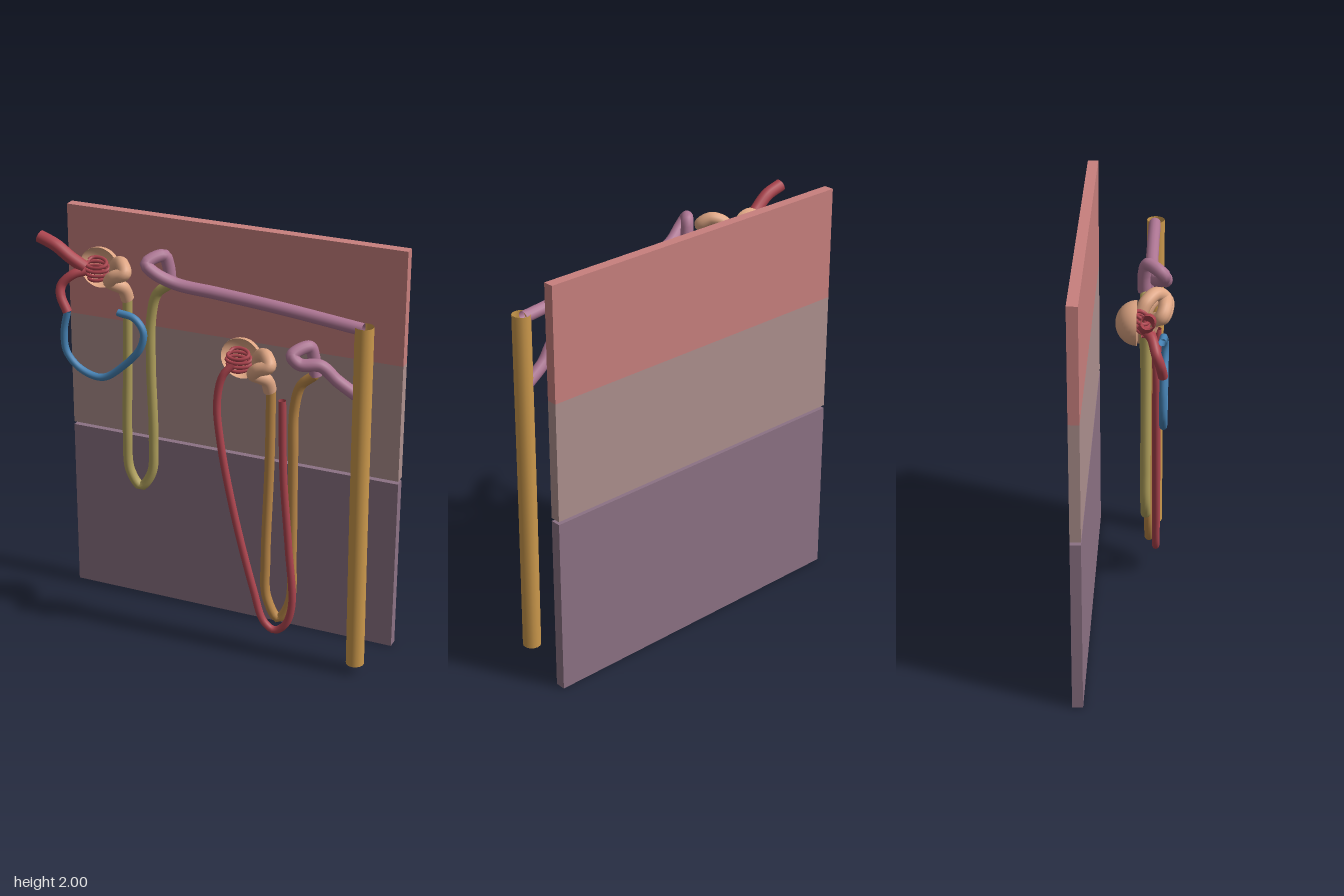
import * as THREE from 'three';

const mat = (name, color) => {
  const m = new THREE.MeshStandardMaterial({ color, side: THREE.DoubleSide });
  m.name = name;
  return m;
};

export function createModel() {
  const M = {
    cortex: mat('cortex rose', 0xc8807e),
    outer: mat('outer medulla taupe', 0xad908e),
    inner: mat('inner medulla plum', 0x8c7284),
    vessel: mat('vessel red', 0xac444e),
    vein: mat('vein blue', 0x4682b4),
    peach: mat('peach', 0xdfa684),
    mauve: mat('mauve', 0xae7694),
    olive: mat('olive', 0xb0a05c),
    amber: mat('amber', 0xba8748),
    duct: mat('duct gold', 0xcc994c),
  };
  const model = new THREE.Group();

  const add = (parent, name, geometry, material) => {
    const mesh = new THREE.Mesh(geometry, material);
    mesh.name = name;
    parent.add(mesh);
    return mesh;
  };
  // Open-ended tube through a few points, optionally shifted in x and y
  const tube = (parent, name, material, radius, pts, dx = 0, dy = 0) => {
    const curve = new THREE.CatmullRomCurve3(
      pts.map(([x, y, z]) => new THREE.Vector3(x + dx, y + dy, z)));
    return add(parent, name, new THREE.TubeGeometry(curve, pts.length * 10, radius, 14), material);
  };

  // Backing layers
  const layers = [
    ['cortexLayer', M.cortex, 1.455, 2],
    ['outerMedullaLayer', M.outer, 0.88, 1.455],
    ['innerMedullaLayer', M.inner, 0, 0.865],
  ];
  for (const [name, material, y0, y1] of layers) {
    add(model, name, new THREE.BoxGeometry(1.68, y1 - y0, 0.05), material)
      .position.set(0, (y0 + y1) / 2, -0.192);
  }

  // Capsule cup, capillary tuft and first coiled tubule, shared by both nephrons
  const head = (parent, cx, cy) => {
    const cup = new THREE.SphereGeometry(0.097, 32, 14, 0, Math.PI * 2, 0, Math.PI / 2);
    cup.rotateX(-Math.PI / 2);
    cup.scale(1, 1, 0.95);
    add(parent, 'capsule', cup, M.peach).position.set(cx, cy, 0.065);

    const coil = [];
    const turns = 4, steps = 48;
    for (let i = 0; i <= steps; i++) {
      const t = i / steps;
      const a = Math.PI + t * turns * Math.PI * 2;
      const r = 0.04 + 0.02 * Math.sin(t * Math.PI);
      coil.push([cx + r * Math.cos(a), cy + 0.04 - 0.08 * t - 0.012 * Math.sin(a),
        0.085 + 0.028 * Math.sin(a)]);
    }
    const curve = new THREE.CatmullRomCurve3(coil.map((p) => new THREE.Vector3(...p)));
    add(parent, 'capillaryTuft', new THREE.TubeGeometry(curve, 150, 0.0085, 8), M.vessel);

    tube(parent, 'proximalTubule', M.peach, 0.031, [
      [0.09, 0.0, 0.075], [0.11, 0.045, 0.1], [0.155, 0.065, 0.14], [0.185, 0.035, 0.178],
      [0.13, 0.01, 0.18], [0.105, -0.02, 0.165], [0.15, -0.06, 0.12], [0.16, -0.115, 0.1],
    ], cx, cy);
  };

  // Shared start of the distal tubule
  const distalStart = [
    [-0.19, 1.78, 0.085], [-0.2, 1.87, 0.085], [-0.215, 1.92, 0.1], [-0.27, 1.895, 0.17],
    [-0.235, 1.86, 0.17],
  ];

  // Short-loop nephron
  const shortN = new THREE.Group();
  shortN.name = 'shortNephron';
  model.add(shortN);
  head(shortN, -0.56, 1.8);
  tube(shortN, 'inflowArteriole', M.vessel, 0.03, [
    [-0.835, 1.93, 0.115], [-0.75, 1.9, 0.12], [-0.68, 1.85, 0.115], [-0.615, 1.805, 0.1],
  ]);
  tube(shortN, 'outflowArteriole', M.vessel, 0.022, [
    [-0.61, 1.79, 0.1], [-0.66, 1.775, 0.13], [-0.71, 1.725, 0.15], [-0.71, 1.68, 0.165],
    [-0.67, 1.605, 0.178],
  ]);
  tube(shortN, 'capillaryVein', M.vein, 0.017, [
    [-0.67, 1.61, 0.18], [-0.69, 1.51, 0.18], [-0.68, 1.41, 0.18], [-0.61, 1.335, 0.18],
    [-0.5, 1.31, 0.18], [-0.39, 1.385, 0.18], [-0.3, 1.49, 0.18], [-0.285, 1.57, 0.18],
    [-0.33, 1.625, 0.175], [-0.415, 1.64, 0.17],
  ]);
  tube(shortN, 'shortLoop', M.olive, 0.023, [
    [-0.4, 1.69, 0.1], [-0.405, 1.4, 0.1], [-0.415, 1.0, 0.1], [-0.405, 0.82, 0.1],
    [-0.35, 0.745, 0.1], [-0.295, 0.82, 0.095], [-0.282, 1.0, 0.095], [-0.29, 1.4, 0.095],
    [-0.285, 1.62, 0.09], [-0.255, 1.73, 0.09], [-0.19, 1.785, 0.09],
  ]);
  tube(shortN, 'distalTubule', M.mauve, 0.029, [
    ...distalStart, [-0.14, 1.81, 0.14], [0.05, 1.785, 0.115], [0.35, 1.76, 0.11],
    [0.74, 1.72, 0.11],
  ]);

  // Long-loop nephron
  const longN = new THREE.Group();
  longN.name = 'longNephron';
  model.add(longN);
  head(longN, 0.145, 1.468);
  tube(longN, 'longLoop', M.amber, 0.023, [
    [0.31, 1.36, 0.1], [0.307, 1.0, 0.1], [0.293, 0.5, 0.1], [0.3, 0.29, 0.1],
    [0.36, 0.185, 0.1], [0.415, 0.28, 0.095], [0.422, 0.55, 0.095], [0.42, 1.05, 0.095],
    [0.42, 1.28, 0.09], [0.45, 1.4, 0.09], [0.515, 1.46, 0.09],
  ]);
  tube(longN, 'distalTubule', M.mauve, 0.029, [
    ...distalStart.map(([x, y, z]) => [x + 0.705, y - 0.325, z]),
    [0.56, 1.53, 0.14], [0.63, 1.465, 0.12], [0.73, 1.4, 0.11],
  ]);
  tube(longN, 'straightVessel', M.vessel, 0.018, [
    [0.13, 1.455, 0.1], [0.085, 1.4, 0.125], [0.06, 1.27, 0.135], [0.075, 1.08, 0.135],
    [0.145, 0.72, 0.135], [0.245, 0.34, 0.135], [0.3, 0.175, 0.135], [0.355, 0.138, 0.135],
    [0.41, 0.18, 0.135], [0.442, 0.29, 0.135], [0.42, 0.6, 0.135], [0.39, 0.95, 0.135],
    [0.378, 1.33, 0.135],
  ]);

  // Collecting duct
  tube(model, 'collectingDuct', M.duct, 0.043, [
    [0.747, 1.737, 0.115], [0.75, 0.9, 0.115], [0.757, 0.045, 0.115],
  ]);

  return model;
}
